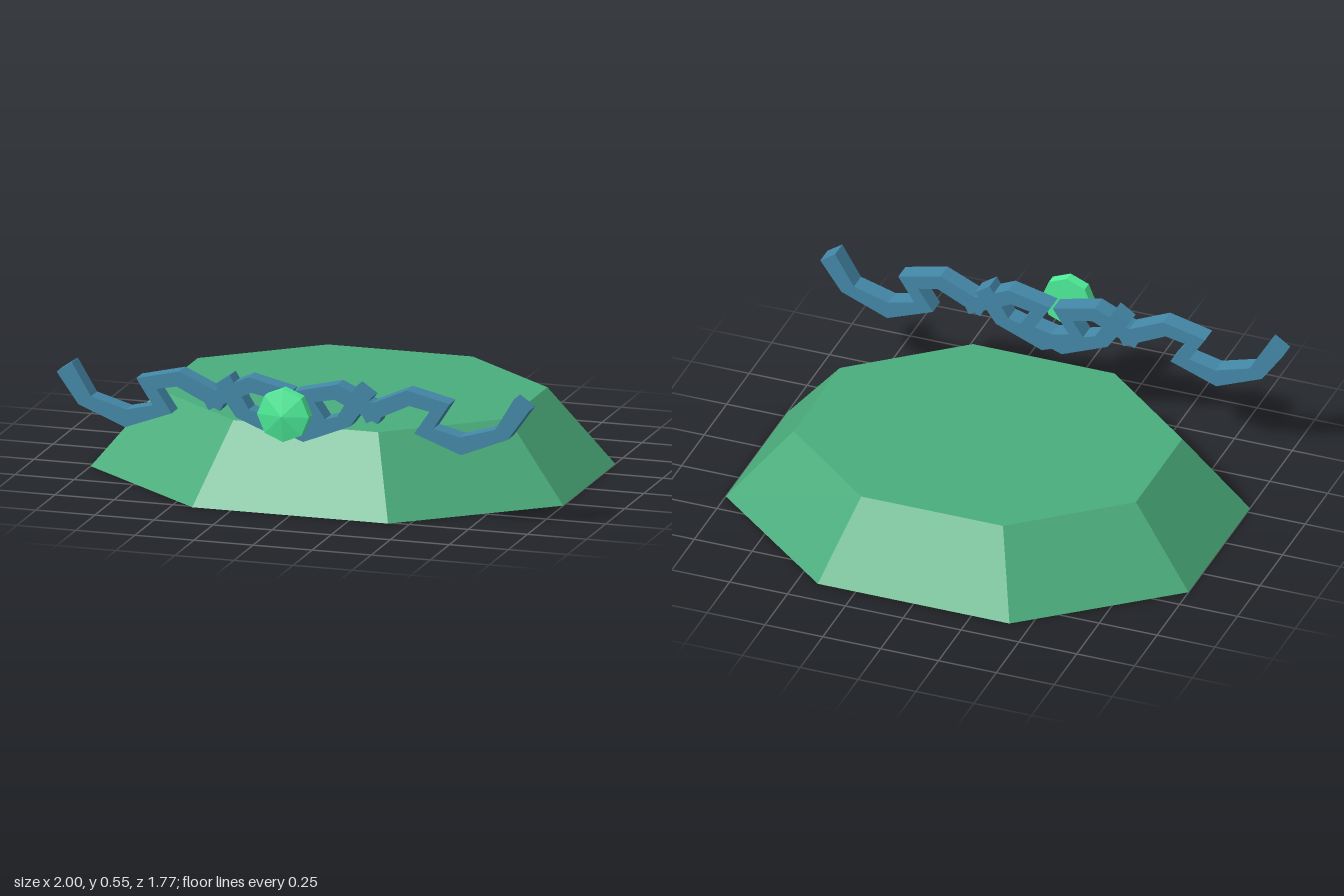
import * as THREE from 'three';

const material = (color) => new THREE.MeshStandardMaterial({ color, flatShading: true });

function addMesh(parent, name, geometry, mat) {
  const mesh = new THREE.Mesh(geometry, mat);
  mesh.name = name;
  parent.add(mesh);
  return mesh;
}

// Outline of one angular S-shaped scroll, outer end first
const SCROLL = [
  [-1, 0.508], [-0.909, 0.38], [-0.711, 0.3], [-0.513, 0.374], [-0.578, 0.47],
  [-0.492, 0.487], [-0.31, 0.4], [-0.278, 0.46], [-0.481, 0.551], [-0.663, 0.508],
  [-0.594, 0.401], [-0.706, 0.374], [-0.855, 0.417], [-0.936, 0.552],
];

// Extrudes the scroll after moving each x by a mirroring rule
function scrollGeometry(mapX) {
  const shape = new THREE.Shape(SCROLL.map(([x, y]) => new THREE.Vector2(mapX(x), y)));
  const geometry = new THREE.ExtrudeGeometry(shape, { depth: 0.08, bevelEnabled: false });
  return geometry.translate(0, 0, 0.647);
}

// Eight-sided frustum, a little shorter from front to back
function baseGeometry() {
  const toCorner = 1 / Math.cos(Math.PI / 8);
  const geometry = new THREE.CylinderGeometry(0.74 * toCorner, toCorner, 0.32, 8);
  geometry.rotateY(Math.PI / 8);
  const p = geometry.attributes.position;
  for (let i = 0; i < p.count; i++) {
    p.setZ(i, p.getZ(i) * (p.getY(i) > 0 ? 0.837 : 0.824));
  }
  geometry.translate(0, 0.16, -0.06);
  geometry.computeVertexNormals();
  return geometry;
}

export function createModel() {
  const model = new THREE.Group();
  model.name = 'gemOrnament';

  addMesh(model, 'base', baseGeometry(), material(0x4aad7c));

  // Scrollwork: an outer and an inner scroll on each side, the inner pair interlocking
  const scrollwork = new THREE.Group();
  scrollwork.name = 'scrollwork';
  model.add(scrollwork);
  const blue = material(0x4488a8);
  for (const [side, label] of [[1, 'right'], [-1, 'left']]) {
    addMesh(scrollwork, label + 'OuterScroll', scrollGeometry((x) => side * x), blue);
    addMesh(scrollwork, label + 'InnerScroll', scrollGeometry((x) => side * (-0.668 - x)), blue);
  }

  // Gem: flat back, eight-sided rim and a shallow pointed front
  const profile = [[0, 0.814], [0.11, 0.814], [0.11, 0.859], [0, 0.883]];
  const gem = new THREE.LatheGeometry(profile.map(([r, z]) => new THREE.Vector2(r, z)), 8);
  gem.rotateX(Math.PI / 2);
  gem.translate(0, 0.44, 0);
  addMesh(model, 'gem', gem, material(0x4df09a));

  return model;
}
